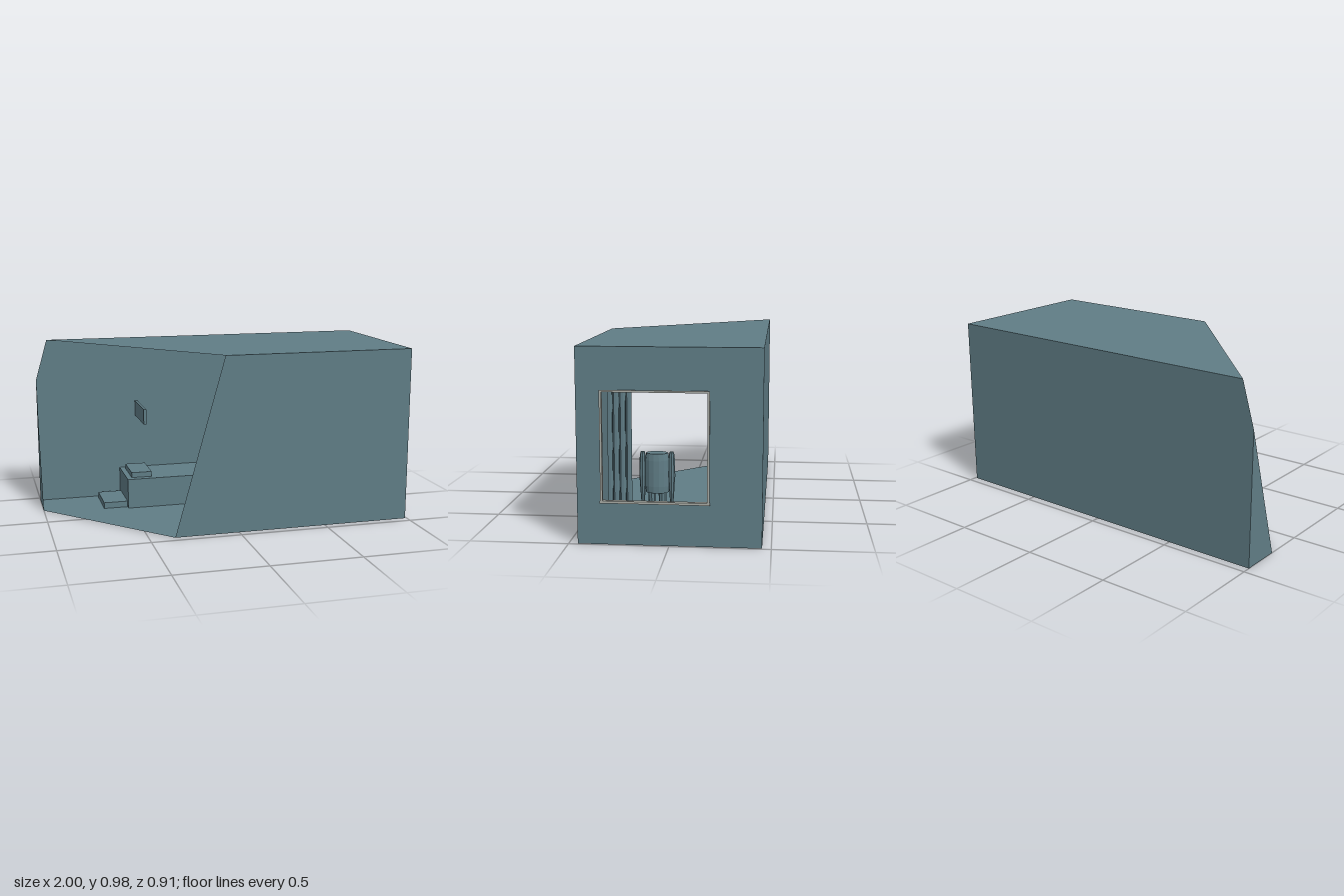
import * as THREE from 'three';

export function createModel() {
  const root = new THREE.Group();
  root.name = 'cutawayRoom';
  const blueGrey = new THREE.MeshStandardMaterial({ color: 0x607d86, flatShading: true, side: THREE.DoubleSide });
  blueGrey.name = 'blueGrey';
  const paleGrey = new THREE.MeshStandardMaterial({ color: 0xa9aca6, flatShading: true });
  paleGrey.name = 'paleGrey';

  const add = (name, geometry, material = blueGrey, parent = root) => {
    const mesh = new THREE.Mesh(geometry, material);
    mesh.name = name;
    parent.add(mesh);
    return mesh;
  };
  const box = (name, x0, x1, y0, y1, z0, z1, material, parent) =>
    add(name, new THREE.BoxGeometry(x1 - x0, y1 - y0, z1 - z0), material, parent)
      .position.set((x0 + x1) / 2, (y0 + y1) / 2, (z0 + z1) / 2);
  const polygon = (pts) => new THREE.Shape(pts.map(([u, v]) => new THREE.Vector2(u, v)));

  // Room shell: thin panels, with one corner sliced off by a sloping plane
  const W = 0.99, D = 0.455, H = 0.98;
  const flat = (pts, y) => new THREE.ShapeGeometry(polygon(pts.map(([x, z]) => [x, -z])))
    .rotateX(-Math.PI / 2).translate(0, y, 0);
  const sideways = (shape, x) => new THREE.ShapeGeometry(shape)
    .rotateY(Math.PI / 2).translate(x, 0, 0);

  add('floor', flat([[-1, -D], [-1, -0.23], [-0.36, D], [W, D], [W, -D]], 0));
  add('ceiling', flat([[-0.93, -D], [-0.08, D], [W, D], [W, -D]], H));
  add('frontWall', new THREE.ShapeGeometry(polygon([[-0.36, 0], [W, 0], [W, H], [-0.08, H]])).translate(0, 0, D));
  add('backWall', new THREE.ShapeGeometry(
    polygon([[-1, 0], [W, 0], [W, H], [-0.93, H], [-1, 0.74]])).translate(0, 0, -D));
  add('endWall', sideways(polygon([[0.23, 0], [D, 0], [D, 0.74]]), -1));

  // Window wall; u runs along -z
  const windowWall = polygon([[-D, 0], [D, 0], [D, H], [-D, H]]);
  windowWall.holes.push(polygon([[-0.327, 0.222], [-0.327, 0.76], [0.187, 0.76], [0.187, 0.222]]));
  add('windowWall', sideways(windowWall, W));

  // Window frame
  const frame = new THREE.Group();
  frame.name = 'windowFrame';
  root.add(frame);
  box('frameTop', 0.975, 0.998, 0.76, 0.77, -0.198, 0.338, paleGrey, frame);
  box('frameSill', 0.975, 1.0, 0.21, 0.222, -0.2, 0.34, paleGrey, frame);
  box('frameFrontSide', 0.975, 0.998, 0.222, 0.76, 0.327, 0.338, paleGrey, frame);
  box('frameBackSide', 0.975, 0.998, 0.222, 0.76, -0.198, -0.187, paleGrey, frame);

  // Pleated curtain: a sheet folded in a zigzag
  const curtain = new THREE.PlaneGeometry(0.115, 0.74, 14, 1).rotateY(Math.PI / 2);
  const pos = curtain.attributes.position;
  for (let i = 0; i < pos.count; i++) {
    const fold = Math.round((pos.getZ(i) / 0.115 + 0.5) * 14);
    pos.setX(i, [-0.022, -0.012, 0.022, 0.014][fold % 4]);
  }
  curtain.computeVertexNormals();
  add('curtain', curtain).position.set(0.865, 0.38, 0.26);

  // Headless dress figure standing by the window
  const figure = new THREE.Group();
  figure.name = 'figure';
  figure.position.set(0.885, 0, 0.07);
  root.add(figure);
  const turned = (pts, sides) =>
    new THREE.LatheGeometry(pts.map(([r, y]) => new THREE.Vector2(r, y)), sides);
  add('torso', turned([[0, 0.245], [0.057, 0.247], [0.061, 0.28], [0.061, 0.35],
    [0.06, 0.41], [0.055, 0.445], [0, 0.445]], 14)).geometry.scale(0.72, 1, 1);
  for (const s of [-1, 1]) {
    add('leg', turned([[0, 0], [0.016, 0], [0.015, 0.08], [0.02, 0.25]], 8), blueGrey, figure)
      .position.z = s * 0.026;
    const arm = add('arm', turned([[0, 0.19], [0.009, 0.2], [0.018, 0.33],
      [0.015, 0.43], [0.01, 0.45], [0, 0.452]], 8), blueGrey, figure);
    arm.position.z = s * 0.072;
  }
  figure.add(root.getObjectByName('torso'));

  // Furniture near the open corner
  box('bed', -0.51, 0.12, 0, 0.175, -0.45, -0.15);
  box('pillow', -0.48, -0.36, 0.175, 0.205, -0.41, -0.19);
  box('lowStep', -0.65, -0.51, 0, 0.035, -0.42, -0.18);
  box('wallPanel', -0.408, -0.392, 0.5, 0.59, -0.45, -0.16);

  return root;
}
